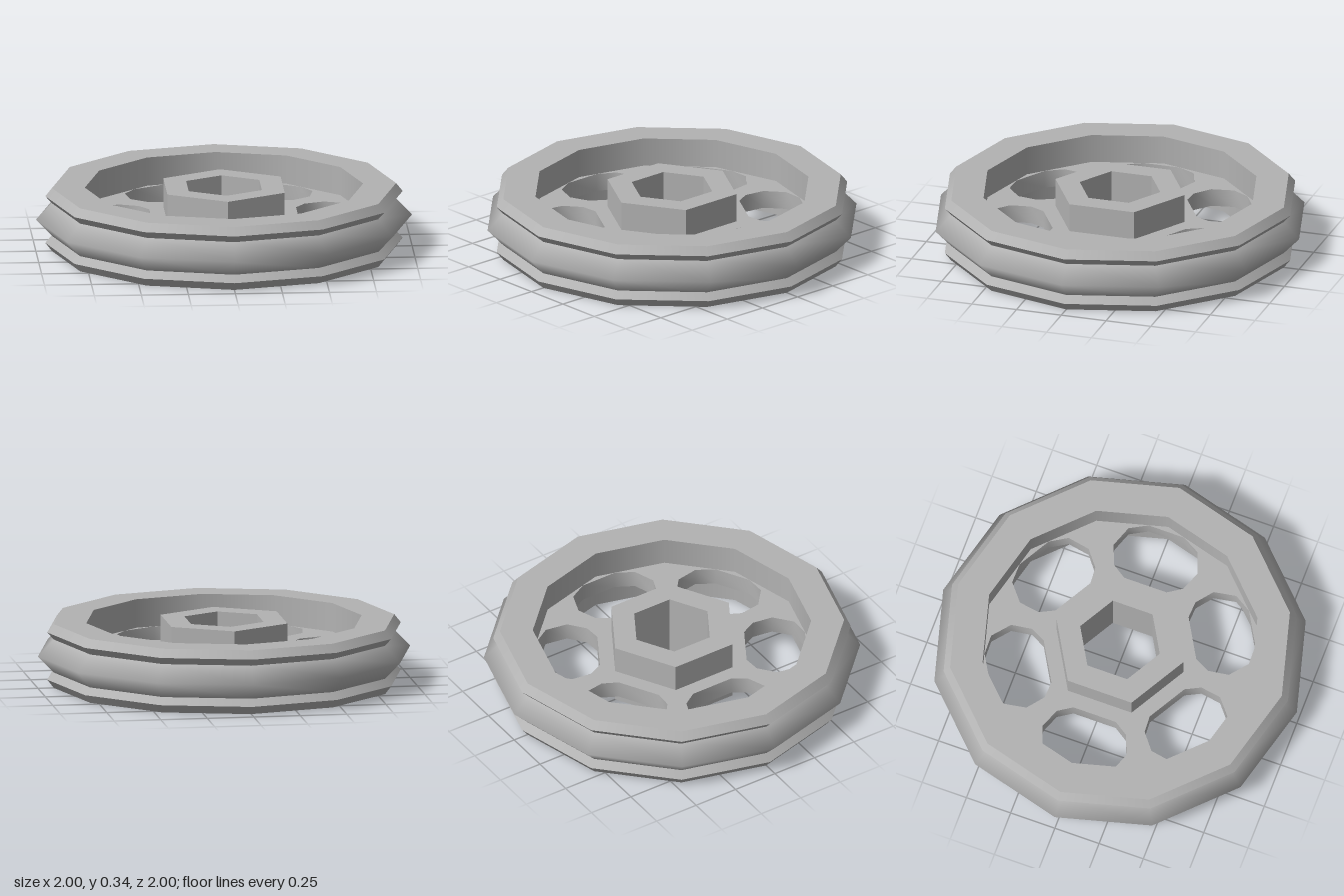
import * as THREE from 'three';
import { toCreasedNormals } from 'three/addons/utils/BufferGeometryUtils.js';

export function createModel() {
  const group = new THREE.Group();
  group.name = 'wheel';
  const grey = new THREE.MeshStandardMaterial({ color: 0xb3b3b3 });
  grey.name = 'grey';

  const add = (name, geometry, parent = group) => {
    const mesh = new THREE.Mesh(geometry, grey);
    mesh.name = name;
    parent.add(mesh);
  };
  const lathe = (points, sides) =>
    new THREE.LatheGeometry(points.map(([r, y]) => new THREE.Vector2(r, y)), sides);

  // Rim: one band per sharp-edged zone, the middle ridge shaded smoothly
  const rim = new THREE.Group();
  rim.name = 'rim';
  group.add(rim);
  const bands = {
    rimBottom: [[0.74, 0], [0.915, 0]],
    lowerLipUnderside: [[0.915, 0], [0.95, 0.045]],
    lowerLipTop: [[0.95, 0.045], [0.915, 0.083]],
    middleRidge: [[0.915, 0.083], [1, 0.172], [0.915, 0.261]],
    upperLipUnderside: [[0.915, 0.261], [0.95, 0.3]],
    upperLipTop: [[0.95, 0.3], [0.915, 0.344]],
    rimTop: [[0.915, 0.344], [0.74, 0.344]],
    rimInnerWall: [[0.74, 0.344], [0.74, 0]],
  };
  for (const [name, points] of Object.entries(bands)) add(name, lathe(points, 12), rim);

  // Hexagonal hub with a hexagonal bore
  const hub = lathe([[0.225, 0], [0.36, 0], [0.36, 0.344], [0.225, 0.344], [0.225, 0]], 6).toNonIndexed();
  hub.computeVertexNormals();
  add('hub', hub);

  // Web: twelve-sided plate with six rounded openings around the hub
  const polygon = (r, sides) => Array.from({ length: sides }, (_, i) => {
    const a = (i / sides) * Math.PI * 2 + Math.PI / 2;
    return new THREE.Vector2(r * Math.cos(a), r * Math.sin(a));
  });
  const half = [[0.39, 0.12], [0.44, 0.196], [0.545, 0.237], [0.66, 0.195], [0.712, 0.1]];
  const outline = [...half, ...half.map(([x, y]) => [x, -y]).reverse()];
  const web = new THREE.Shape(polygon(0.74, 12));
  web.holes.push(new THREE.Path(polygon(0.3, 6)));
  const centre = new THREE.Vector2();
  for (let i = 0; i < 6; i++) {
    web.holes.push(new THREE.Path(outline.map(([x, y]) =>
      new THREE.Vector2(x, y).rotateAround(centre, (i * Math.PI) / 3))));
  }
  const plate = new THREE.ExtrudeGeometry(web, { depth: 0.095, bevelEnabled: false });
  plate.rotateX(-Math.PI / 2).translate(0, 0.095, 0);
  add('web', toCreasedNormals(plate, 0.85));

  return group;
}
